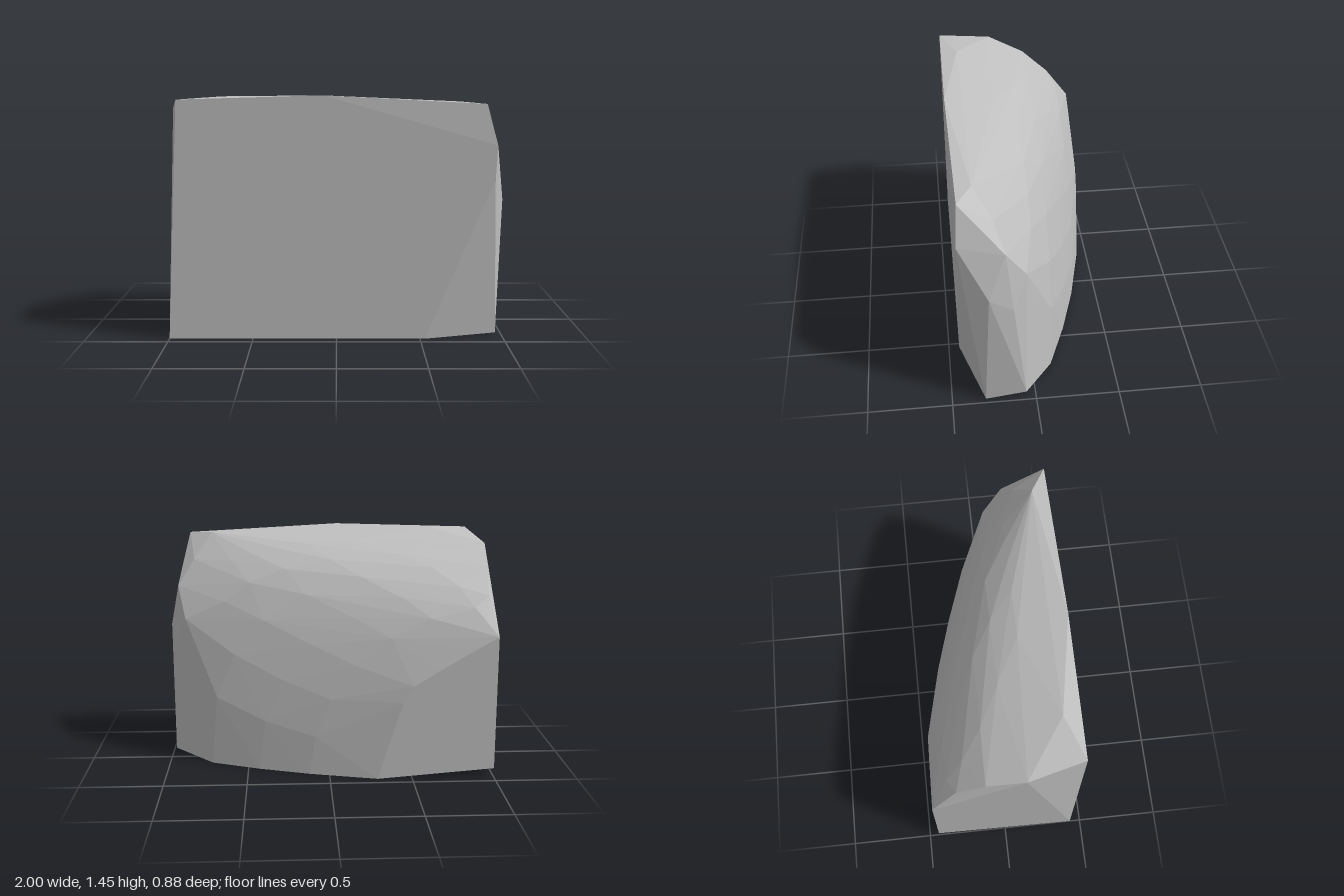
import * as THREE from 'three';
import { ConvexGeometry } from 'three/addons/geometries/ConvexGeometry.js';

// Faceted stone chunk: flat front, base and end, domed back.
export function createModel() {
  const group = new THREE.Group();
  group.name = 'stoneChunk';
  const stone = new THREE.MeshStandardMaterial({ color: 0xbfbfbf });
  stone.name = 'stone grey';

  const points = [];
  const add = (x, y, z) => points.push(new THREE.Vector3(x, y, z));

  // Flat front face and its chamfered lower corner
  add(-1, 0, 0.435); add(-0.93, 1.425, 0.43); add(-0.08, 1.45, 0.435);
  add(0.875, 1.4, 0.42); add(0.94, 1.16, 0.435); add(0.93, 0.96, 0.435); add(0.53, 0, 0.435);

  // Top ridge just behind the front
  add(-0.67, 1.44, 0.33); add(0.73, 1.41, 0.33);

  // Flat end at -x
  add(-1, 0.057, -0.44); add(-1, 0.878, -0.44); add(-1, 1.36, 0.1);
  add(-0.96, 1.1, -0.29); add(-0.975, 1.25, -0.125);

  // Rounded end at +x
  add(0.97, 0, 0.3); add(0.975, 0.04, 0.057); add(1, 0.82, 0.27);
  add(0.94, 1.09, 0.17); add(0.84, 1.25, 0.23); add(0.97, 0.71, 0.13); add(0.89, 0.9, 0.05);

  // Flat patch on the back
  for (const [x, y] of [[-0.867, 0.803], [-0.657, 0.678], [-0.5, 0.58], [-0.44, 0.48], [-0.34, 0.17], [-0.29, 0]]) {
    add(x, y, -0.44);
  }

  // Domed back: rounded sections [z, width, height, squareness, lowest angle]
  const sections = [
    [-0.34, 1.12, 1.04, 1.95, 0],
    [-0.24, 1.43, 1.15, 2.2, 0],
    [-0.12, 1.73, 1.25, 2.7, 0],
    [0, 1.89, 1.315, 3.6, 0.3],
    [0.14, 1.95, 1.375, 5, 0.65],
  ];
  for (const [z, width, height, n, low] of sections) {
    for (let i = 0; i < 7; i++) {
      const a = low + (1.45 - low) * i / 6;
      add(-1 + width * Math.cos(a) ** (2 / n), height * Math.sin(a) ** (2 / n), z);
    }
  }

  const mesh = new THREE.Mesh(new ConvexGeometry(points), stone);
  mesh.name = 'stoneBody';
  group.add(mesh);
  return group;
}
